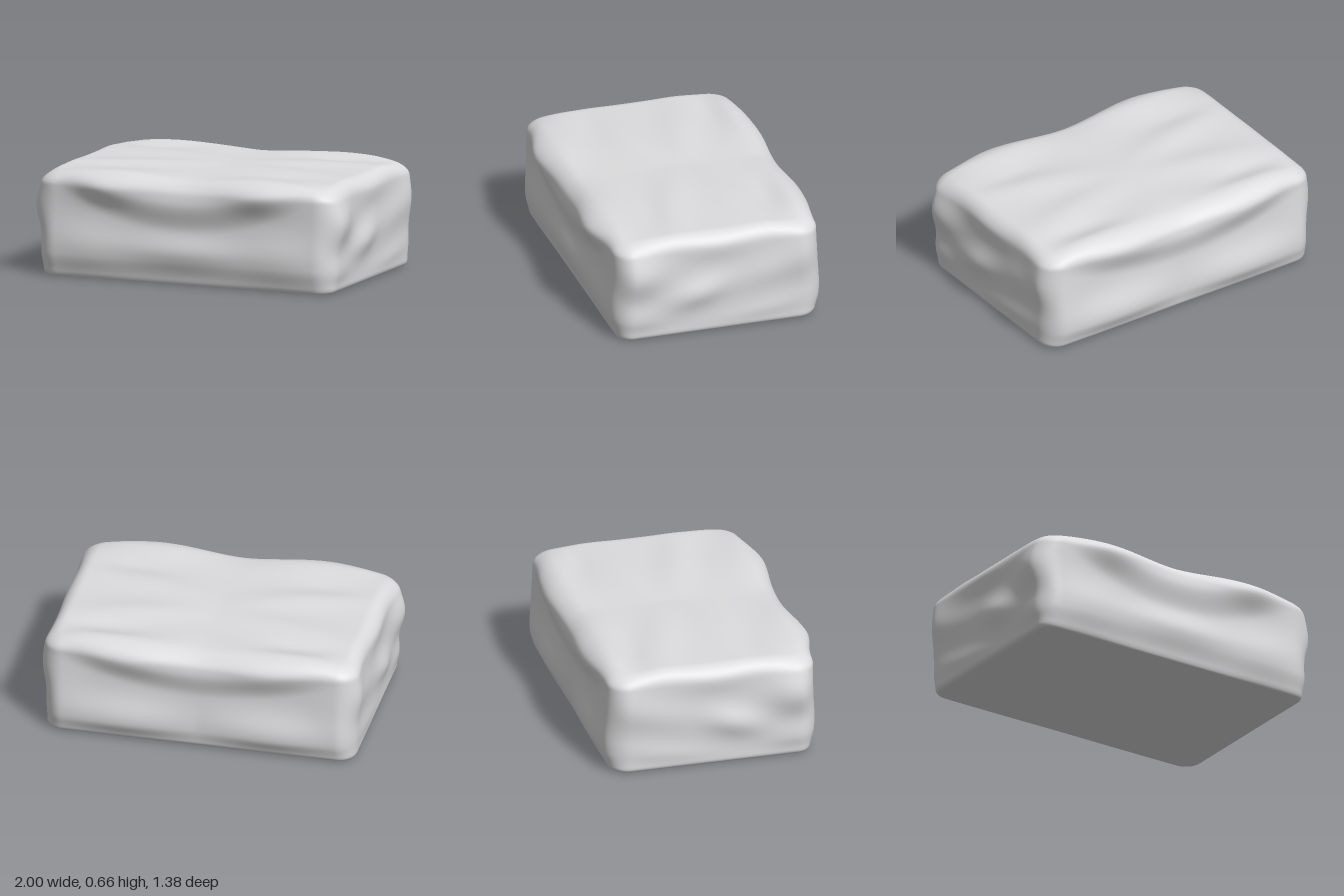
import * as THREE from 'three';
import { mergeVertices } from 'three/addons/utils/BufferGeometryUtils.js';

const HX = 0.945, HZ = 0.625, H = 0.638; // half width, half depth, height
const CORNER = 0.11;                     // radius of the upright edges
const step = THREE.MathUtils.smoothstep;
const clamp = THREE.MathUtils.clamp;

// Sum of soft bumps: [centre u, centre v, spread u, spread v, height, tilt]
function bumps(u, v, list) {
  let d = 0;
  for (const [cu, cv, su, sv, h, tilt = 0] of list) {
    const a = u - cu, b = v - cv - tilt * a;
    d += h * Math.exp(-((a / su) ** 2) - (b / sv) ** 2);
  }
  return d;
}

// Front: overhanging brow that sags toward the middle, with a low swelling
function front(x, y) {
  const yc = 0.40 + 0.34 * x * x;
  const fade = 1 - step(x, 0.5, 0.95);
  return 0.036 * fade * step(y, yc - 0.09, yc + 0.1)
    - 0.02 * (1 - step(y, 0, 0.14))
    + bumps(x, y, [
      [0, 0.2, 0.42, 0.09, 0.03],
      [0.5, 0.57, 0.22, 0.1, 0.03],
      [0, 0.64, 0.28, 0.09, -0.035],
      [0.65, 0.2, 0.25, 0.14, 0.022],
    ]);
}

// Back: shallower brow and a broad swelling below it
function back(x, y) {
  const yc = 0.42 + 0.22 * x * x;
  const fade = 1 - step(x, 0.55, 0.98);
  return 0.016 + 0.032 * fade * step(y, yc - 0.07, yc + 0.1)
    + bumps(x, y, [
      [0.38, 0.57, 0.22, 0.1, 0.017],
      [0, 0.64, 0.25, 0.08, -0.025],
      [0.45, 0.15, 0.4, 0.13, 0.042],
      [0.85, 0.3, 0.15, 0.2, 0.012],
    ]);
}

// Sides: slanting ledges, strongest near the front corner
function side(z, y) {
  return bumps(z, y, [
    [0.5, 0.42, 0.17, 0.14, 0.053],
    [0.12, 0.27, 0.18, 0.09, 0.034, -0.2],
    [0.5, 0.14, 0.16, 0.09, 0.016],
    [-0.35, 0.36, 0.25, 0.1, 0.014, -0.2],
    [-0.55, 0.45, 0.14, 0.16, 0.022],
    [-0.3, 0.1, 0.3, 0.07, 0.008, -0.2],
    [0, 0.55, 0.2, 0.07, 0.012],
  ]);
}

// Top: gentle ripples crossing toward the middle, lower at the corners
function top(x, z) {
  return bumps(x, z, [
    [0.45, 0.13, 0.4, 0.12, 0.017, 0.25],
    [0.45, -0.2, 0.4, 0.12, 0.017, -0.2],
    [0.45, 0.54, 0.3, 0.12, 0.018],
    [0.55, -0.57, 0.28, 0.08, 0.02],
    [0.2, -0.5, 0.2, 0.12, 0.006],
    [0.6, -0.42, 0.22, 0.07, -0.01],
    [0.6, 0.29, 0.22, 0.08, -0.008],
    [0, 0.6, 0.25, 0.12, -0.014],
    [0, -0.62, 0.2, 0.1, -0.01],
    [0.94, 0.62, 0.14, 0.14, -0.03],
    [0.94, -0.62, 0.14, 0.14, -0.03],
  ]);
}

export function createModel() {
  const stone = new THREE.MeshStandardMaterial({ color: 0xdcdcde });
  stone.name = 'pale grey stone';

  let geo = new THREE.BoxGeometry(2, 2, 2, 90, 44, 70);
  geo.deleteAttribute('uv');
  geo.deleteAttribute('normal');
  geo = mergeVertices(geo);

  // Crowd the grid toward the edges, round the edges, then push the faces out
  const crowd = t => 0.4 * t + 0.6 * Math.sin(t * Math.PI / 2);
  const pos = geo.attributes.position;
  for (let i = 0; i < pos.count; i++) {
    const x = crowd(pos.getX(i)) * HX;
    const y = (crowd(pos.getY(i)) + 1) * H / 2;
    const z = crowd(pos.getZ(i)) * HZ;

    // Plan: offset k from the inner rectangle along the direction (ux, uz)
    const cx = clamp(x, CORNER - HX, HX - CORNER), cz = clamp(z, CORNER - HZ, HZ - CORNER);
    const k = Math.max(Math.abs(x - cx), Math.abs(z - cz));
    const len = Math.hypot(x - cx, z - cz) || 1;
    const ux = (x - cx) / len, uz = (z - cz) / len;

    // Section: soft upper edge, tighter lower edge
    const r = y > H / 2 ? 0.085 : 0.035;
    const cy = clamp(y, r, H - r);
    const h = Math.max(0, k - CORNER + r), v = y - cy;
    const m = Math.hypot(h, v);
    const nh = h / m, ny = v / m, nx = ux * nh, nz = uz * nh;
    const out = h > 0 ? CORNER - r + r * nh : k;
    const px = cx + ux * out, py = cy + r * ny, pz = cz + uz * out;

    const ax = Math.abs(px), low = step(py, 0, 0.12);
    const dx = nx * side(pz, py) * low;
    const dz = nz * (nz > 0 ? front(ax, py) : back(ax, py) * (0.4 + 0.6 * low));
    const dy = ny > 0 ? ny * top(ax, pz) : 0;
    pos.setXYZ(i, px + dx, py + dy, pz + dz);
  }
  geo.computeVertexNormals();

  const rock = new THREE.Mesh(geo, stone);
  rock.name = 'rockSlab';
  const group = new THREE.Group();
  group.name = 'rock';
  group.add(rock);
  return group;
}
